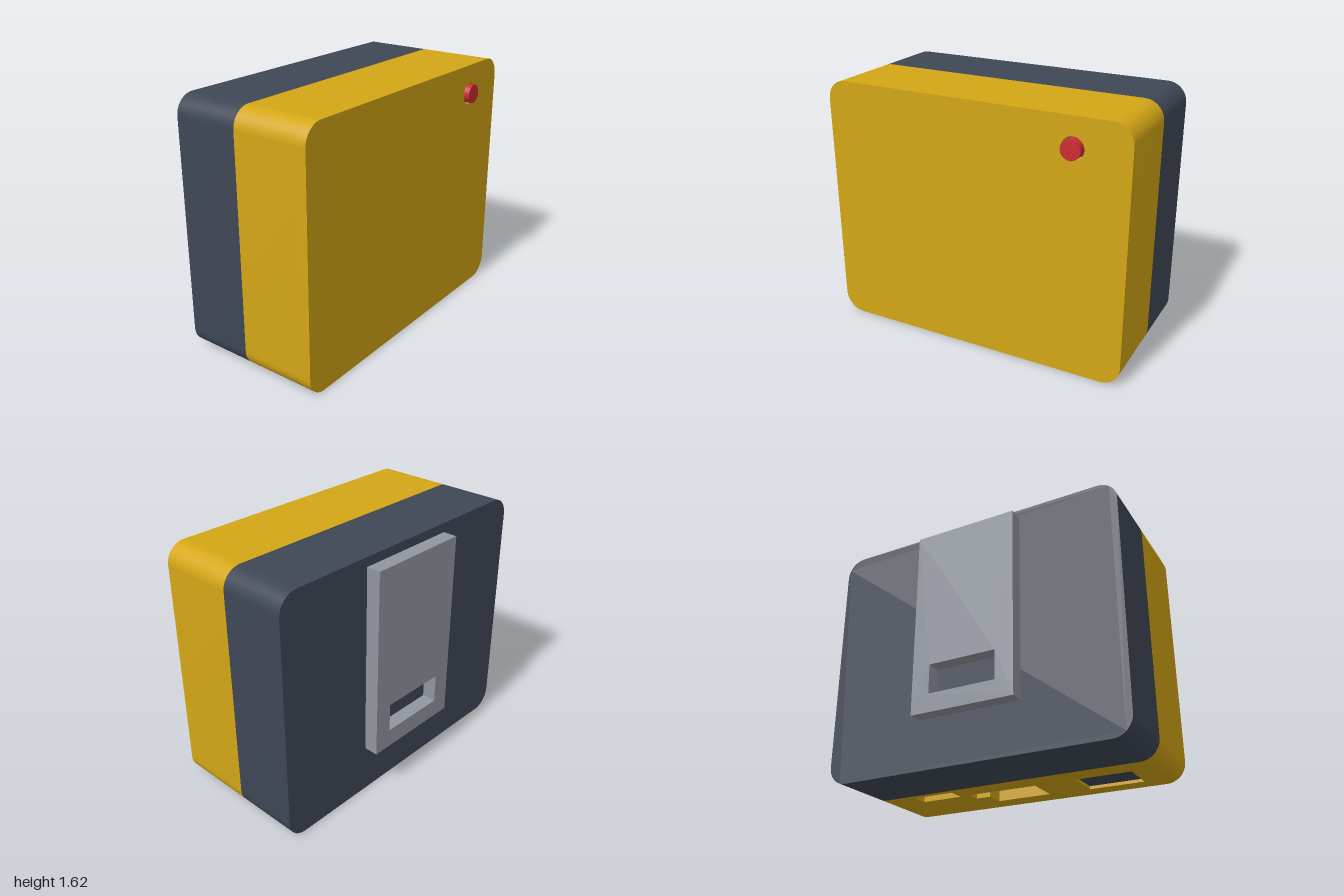
import * as THREE from 'three';
import { toCreasedNormals } from 'three/addons/utils/BufferGeometryUtils.js';

const W = 1, H = 1.625, R = 0.125, T = 0.07; // half width, height, corner radius, wall
const FRONT = 0.5, BACK = -0.44;

const mat = (color) => new THREE.MeshStandardMaterial({ color });
const yellow = mat(0xd4a616), dark = mat(0x3f4756), grey = mat(0x90959f);
const red = mat(0xcc2c33), green = mat(0x1a6b45);

function add(parent, name, geometry, material) {
  const mesh = new THREE.Mesh(geometry, material);
  mesh.name = name;
  parent.add(mesh);
  return mesh;
}

// Extrude a shape from z0 to z1, smooth on curves and sharp on edges
function extrude(shape, z0, z1) {
  const g = new THREE.ExtrudeGeometry(shape, { depth: z1 - z0, bevelEnabled: false, curveSegments: 14 });
  return toCreasedNormals(g.translate(0, 0, z0), 0.6);
}

const polygon = (Type, pts) => new Type(pts.map(([x, y]) => new THREE.Vector2(x, y)));
const rect = (Type, x0, y0, x1, y1) => polygon(Type, [[x0, y0], [x1, y0], [x1, y1], [x0, y1]]);

function roundedOutline() {
  const s = new THREE.Shape(), c = W - R;
  s.absarc(c, R, R, -Math.PI / 2, 0);
  s.absarc(c, H - R, R, 0, Math.PI / 2);
  s.absarc(-c, H - R, R, Math.PI / 2, Math.PI);
  s.absarc(-c, R, R, Math.PI, Math.PI * 1.5);
  return s;
}

// Side and top walls, open along the flat bottom
function wallOutline() {
  const s = roundedOutline(), c = W - R, r = R - T;
  s.lineTo(-c, T);
  s.absarc(-c, R, r, Math.PI * 1.5, Math.PI, true);
  s.absarc(-c, H - R, r, Math.PI, Math.PI / 2, true);
  s.absarc(c, H - R, r, Math.PI / 2, 0, true);
  s.absarc(c, R, r, 0, -Math.PI / 2, true);
  return s;
}

// Floor plate between the lower corners, with optional port openings in x and z
function floorPlate(z0, z1, holes = []) {
  const s = rect(THREE.Shape, R - W, z0, W - R, z1);
  s.holes.push(...holes);
  return extrude(s, 0, T).rotateX(Math.PI / 2).translate(0, T, 0);
}

export function createModel() {
  const model = new THREE.Group();
  model.name = 'clipOnDevice';

  // Front shell with a button hole and three ports underneath
  const buttonX = 0.653, buttonY = 1.438;
  const frontShell = new THREE.Group();
  frontShell.name = 'frontShell';
  const face = roundedOutline();
  face.holes.push(new THREE.Path().absarc(buttonX, buttonY, 0.07, 0, Math.PI * 2, true));
  add(frontShell, 'frontPanel', extrude(face, FRONT - T, FRONT), yellow);
  add(frontShell, 'frontWalls', extrude(wallOutline(), 0, FRONT - T), yellow);
  const ports = [
    rect(THREE.Path, 0.4, 0.04, 0.68, 0.15),
    polygon(THREE.Path, [[-0.14, 0.145], [0.33, 0.145], [0.33, 0.24], [0.23, 0.24], [0.23, 0.365], [-0.14, 0.365]]),
    rect(THREE.Path, -0.77, 0.15, -0.41, 0.385),
  ];
  add(frontShell, 'portFloor', floorPlate(0, FRONT - T, ports), yellow);
  model.add(frontShell);

  // Back shell
  const backShell = new THREE.Group();
  backShell.name = 'backShell';
  add(backShell, 'backPanel', extrude(roundedOutline(), BACK, BACK + T), dark);
  add(backShell, 'backWalls', extrude(wallOutline(), BACK + T, 0), dark);
  add(backShell, 'backFloor', floorPlate(BACK + T, 0), dark);
  model.add(backShell);

  // Circuit board and the block behind the widest port
  add(model, 'circuitBoard', new THREE.BoxGeometry(1.8, 1.45, 0.03), green).position.set(0, 0.81, 0.405);
  add(model, 'portBlock', new THREE.BoxGeometry(0.36, 0.2, 0.235), dark).position.set(-0.59, 0.12, 0.2675);

  // Push button
  const button = add(model, 'button', new THREE.CylinderGeometry(0.061, 0.061, 0.13, 40), red);
  button.rotation.x = Math.PI / 2;
  button.position.set(buttonX, buttonY, 0.468);

  // Belt clip plate with a slot
  const clip = rect(THREE.Shape, -0.345, 0.32, 0.345, 1.565);
  clip.holes.push(rect(THREE.Path, -0.225, 0.44, 0.225, 0.63));
  add(model, 'beltClip', extrude(clip, -0.533, BACK), grey);

  return model;
}
